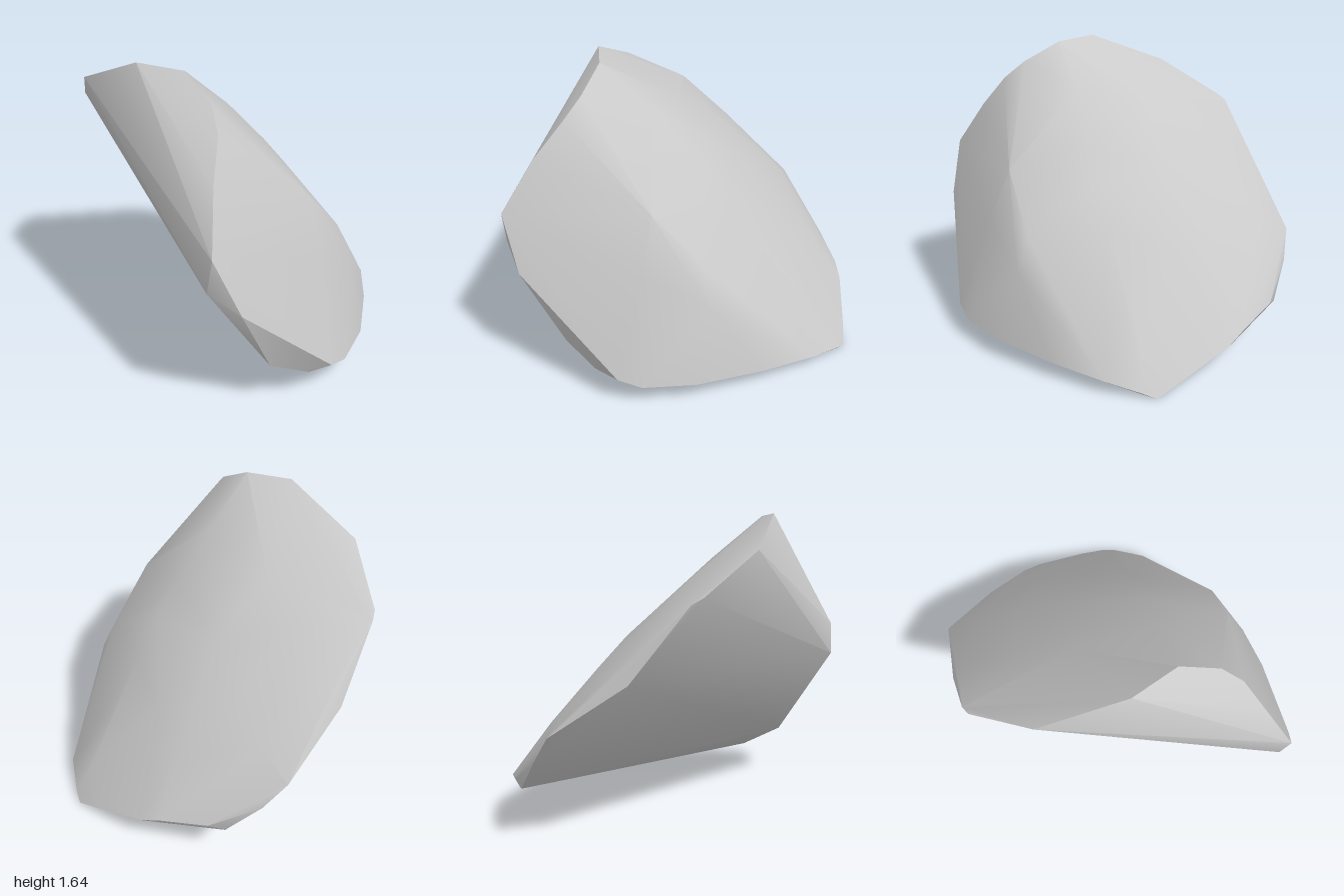
import * as THREE from 'three';
import { toCreasedNormals } from 'three/addons/utils/BufferGeometryUtils.js';
import { ConvexGeometry } from 'three/addons/geometries/ConvexGeometry.js';

// Upper and front-left rim of the shard
const upperRim = [
  [-0.65, 1.22, -0.74], [-0.69, 1.25, -0.70], [-0.80, 1.46, -0.35], [-0.68, 1.64, 0.10],
  [-0.52, 1.63, 0.31], [-0.49, 1.52, 0.52], [-0.52, 1.42, 0.64], [-0.62, 1.24, 0.78],
  [-0.72, 0.98, 0.95], [-0.735, 0.80, 0.92], [-0.60, 0.68, 1.00],
];

// Lower rim, running from the front round to the back
const lowerRim = [
  [-0.40, 0.28, 0.92], [-0.20, 0.18, 0.94], [-0.16, 0.145, 0.91], [-0.05, 0.17, 0.95],
  [0.07, 0.13, 0.90], [0.30, 0.12, 0.73], [0.55, 0.10, 0.43], [0.73, 0.08, 0.16],
  [0.79, 0.03, -0.04], [0.80, 0.00, -0.11], [0.65, 0.04, -0.26], [0.74, 0.06, -0.25],
  [0.60, 0.17, -0.53], [0.53, 0.22, -0.62], [0.34, 0.28, -0.82], [0.26, 0.25, -0.865],
  [0.10, 0.43, -0.96], [-0.02, 0.58, -1.00], [-0.40, 0.85, -0.88], [-0.38, 0.98, -0.83],
];

// Soft ridge running down the dome
const ridge = [
  [-0.25, 1.395, 0.23], [0.00, 1.13, 0.17], [0.15, 0.955, 0.13], [0.30, 0.75, 0.09],
  [0.50, 0.46, 0.03], [0.67, 0.21, -0.04],
];

// Shoulder between the flat front and the ridge
const shoulder = [
  [-0.02, 1.00, 0.62], [0.00, 0.69, 0.75], [0.25, 0.71, 0.53], [0.31, 0.52, 0.59], [0.55, 0.30, 0.31],
];

// Gently bulging back slope
const backSlope = [
  [-0.35, 1.30, -0.20], [-0.34, 1.145, -0.50], [0.00, 0.99, -0.27], [0.00, 0.85, -0.55],
  [0.02, 0.68, -0.81], [0.33, 0.63, -0.24], [0.35, 0.51, -0.50],
];

export function createModel() {
  const group = new THREE.Group();
  group.name = 'rockShard';

  const stone = new THREE.MeshStandardMaterial({ color: 0xcacaca });
  stone.name = 'grey stone';

  // Convex stone body, smooth over the dome and sharp at the rim
  const points = [...upperRim, ...lowerRim, ...ridge, ...shoulder, ...backSlope]
    .map((p) => new THREE.Vector3(...p));
  const hull = new ConvexGeometry(points);
  const rock = new THREE.Mesh(toCreasedNormals(hull, THREE.MathUtils.degToRad(35)), stone);
  rock.name = 'rock';
  group.add(rock);
  return group;
}
